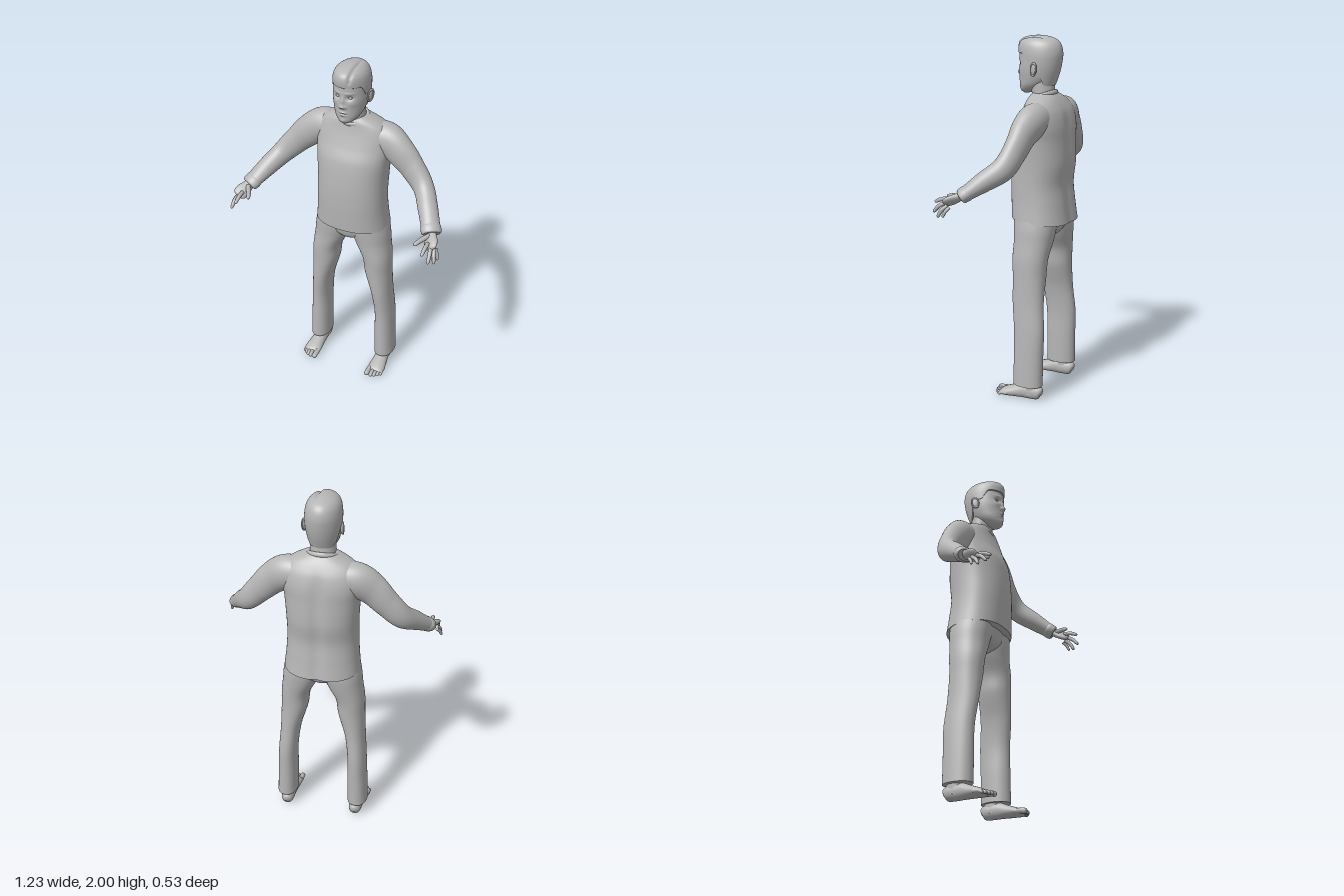
import * as THREE from 'three';

const grey = new THREE.MeshStandardMaterial({ color: 0xb6b6b6 });
grey.name = 'grey';

const step = (a, b, x) => THREE.MathUtils.smoothstep(x, a, b);
const bell = (x, c, w) => Math.exp(-(((x - c) / w) ** 2));
const power = (v, p) => Math.sign(v) * Math.abs(v) ** p;

// Smooth interpolation of rows [key, ...values] by key
function sample(rows, k) {
  const n = rows.length;
  let i = 0;
  while (i < n - 2 && k > rows[i + 1][0]) i++;
  const a = rows[i], b = rows[i + 1], p = rows[Math.max(0, i - 1)], q = rows[Math.min(n - 1, i + 2)];
  const h = b[0] - a[0], t = THREE.MathUtils.clamp((k - a[0]) / h, 0, 1);
  return a.slice(1).map((v, j) => {
    const w = b[j + 1];
    const m0 = ((w - p[j + 1]) / (b[0] - p[0])) * h, m1 = ((q[j + 1] - v) / (q[0] - a[0])) * h;
    return v + t * m0 + t * t * (3 * (w - v) - 2 * m0 - m1) + t * t * t * (2 * (v - w) + m0 + m1);
  });
}

// Closed skin from rings: at(angle, s) gives a point, ends get flat caps
function skin(name, at, nu, nv) {
  const pos = [], index = [];
  const ring = (s) => { for (let i = 0; i < nu; i++) pos.push(...at((i / nu) * Math.PI * 2, s)); };
  for (let j = 0; j <= nv; j++) ring(j / nv);
  for (let j = 0; j < nv; j++) for (let i = 0; i < nu; i++) {
    const a = j * nu + i, b = j * nu + ((i + 1) % nu);
    index.push(a, b, a + nu, b, b + nu, a + nu);
  }
  for (const s of [0, 1]) {
    const start = pos.length / 3, mid = [0, 0, 0];
    ring(s);
    for (let i = 0; i < nu * 3; i++) mid[i % 3] += pos[start * 3 + i] / nu;
    pos.push(...mid);
    for (let i = 0; i < nu; i++) {
      const a = start + i, b = start + ((i + 1) % nu);
      index.push(start + nu, ...(s ? [a, b] : [b, a]));
    }
  }
  const g = new THREE.BufferGeometry();
  g.setAttribute('position', new THREE.Float32BufferAttribute(pos, 3));
  g.setIndex(index);
  g.computeVertexNormals();
  return named(name, g);
}

function named(name, geometry) {
  const mesh = new THREE.Mesh(geometry, grey);
  mesh.name = name;
  return mesh;
}

// Upright loft; rows are [y, centre x, half width, front z, back z]
function upright(name, rows, { p = 1, nu = 48, nv = 48, shape = (v) => v, low = () => rows[0][0], dome = false } = {}) {
  const top = rows[rows.length - 1][0];
  return skin(name, (a, s) => {
    const y = THREE.MathUtils.lerp(low(-Math.sin(a)), top, dome ? Math.sin((s * Math.PI) / 2) : s);
    const [cx, rx, zf, zb] = sample(rows, y);
    return shape([cx + rx * power(Math.cos(a), p), y, (zf + zb) / 2 - ((zf - zb) / 2) * power(Math.sin(a), p)]);
  }, nu, nv);
}

// Limb along a path; rows are [x, y, z, sideways radius, vertical radius]
function limb(name, rows, { roll = 0, nu = 24, nv = 24, round = 0 } = {}) {
  const curve = new THREE.CatmullRomCurve3(rows.map((r) => new THREE.Vector3(r[0], r[1], r[2])));
  const radii = rows.map((r, i) => [i, r[3], r[4]]);
  return skin(name, (a, s) => {
    const c = curve.getPoint(s), t = curve.getTangent(s);
    const u = t.clone().cross(new THREE.Vector3(0, 1, 0)).normalize().applyAxisAngle(t, roll);
    const v = t.clone().cross(u);
    const [ra, rb] = sample(radii, s * (rows.length - 1));
    const k = s > 1 - round ? Math.sqrt(Math.max(0, 1 - ((s - 1 + round) / round) ** 2)) : 1;
    return c.addScaledVector(u, Math.cos(a) * ra * k).addScaledVector(v, Math.sin(a) * rb * k).toArray();
  }, nu, nv);
}

function mirrored(mesh) {
  const g = mesh.geometry.clone().scale(-1, 1, 1), ix = g.index.array;
  for (let i = 0; i < ix.length; i += 3) [ix[i], ix[i + 1]] = [ix[i + 1], ix[i]];
  return named(mesh.name.replace('left', 'right'), g);
}

// Face relief: [x, y, depth, width, height], applied on both sides
const relief = [
  [0, 1.8, 0.014, 0.012, 0.012], [0, 1.828, 0.01, 0.009, 0.026], [0.013, 1.796, 0.008, 0.008, 0.008],
  [0.034, 1.847, -0.013, 0.018, 0.012], [0.034, 1.874, 0.004, 0.025, 0.007], [0.05, 1.815, 0.004, 0.018, 0.018],
  [0, 1.763, 0.006, 0.02, 0.006], [0, 1.747, 0.006, 0.017, 0.006], [0, 1.755, -0.004, 0.022, 0.003],
  [0, 1.715, 0.005, 0.02, 0.012],
];

export function createModel() {
  const model = new THREE.Group();
  model.name = 'standingFigure';

  // Sweater body with slanted hem and a hollow along the spine
  model.add(upright('sweaterBody', [
    [1.005, 0, 0.21, 0.062, -0.265], [1.1, 0, 0.2, 0.067, -0.252], [1.2, 0, 0.195, 0.07, -0.242],
    [1.32, 0, 0.196, 0.066, -0.255], [1.45, 0, 0.205, 0.048, -0.25], [1.53, 0, 0.213, 0.015, -0.244],
    [1.6, 0, 0.208, -0.01, -0.225], [1.645, 0, 0.178, -0.022, -0.2], [1.675, 0, 0.125, -0.028, -0.178],
    [1.695, 0, 0.078, -0.04, -0.158],
  ], {
    p: 0.86, nu: 80, nv: 64, shape: ([x, y, z]) => [
      x,
      y + (z + 0.1) * 0.09 * (1 - step(1, 1.2, y)),
      z < -0.1 ? z + bell(x, 0, 0.035) * 0.012 * (1 - step(1.5, 1.65, y)) : z,
    ],
  }));
  const collar = named('collar', new THREE.TorusGeometry(0.078, 0.011, 12, 48)
    .rotateX(Math.PI / 2).scale(1, 1.2, 0.87).rotateX(0.33));
  collar.position.set(0, 1.678, -0.092);
  model.add(collar);

  // Trousers seat, joining both legs
  model.add(upright('trouserSeat', [
    [0.9, 0, 0.03, -0.05, -0.15], [0.93, 0, 0.1, -0.005, -0.19], [0.97, 0, 0.19, 0.015, -0.208],
    [1.06, 0, 0.195, 0.03, -0.21],
  ]));

  // Neck and head
  model.add(upright('neck', [
    [1.62, 0, 0.075, -0.04, -0.155], [1.69, 0, 0.069, -0.028, -0.152], [1.78, 0, 0.068, -0.01, -0.145],
  ]));
  model.add(upright('head', [
    [1.688, 0, 0.012, 0.025, 0], [1.7, 0, 0.04, 0.04, -0.05], [1.73, 0, 0.068, 0.046, -0.11],
    [1.77, 0, 0.083, 0.048, -0.155], [1.82, 0, 0.092, 0.049, -0.175], [1.87, 0, 0.094, 0.047, -0.186],
    [1.91, 0, 0.093, 0.046, -0.188], [1.95, 0, 0.082, 0.038, -0.178], [1.975, 0, 0.055, 0.01, -0.145],
    [1.983, 0, 0.004, -0.06, -0.07],
  ], {
    nu: 128, nv: 110, shape: ([x, y, z]) => {
      let d = 0;
      for (const [cx, cy, k, w, h] of relief) {
        d += k * bell(y, cy, h) * (bell(x, cx, w) + (cx ? bell(x, -cx, w) : 0));
      }
      return [x, y, z + d * step(-0.04, 0, z)];
    },
  }));

  // Hair shell with hairline, fringe and side parting
  model.add(upright('hair', [
    [1.72, 0, 0.068, -0.02, -0.148], [1.77, 0, 0.087, 0.04, -0.168], [1.82, 0, 0.095, 0.045, -0.184],
    [1.87, 0, 0.098, 0.046, -0.194], [1.91, 0, 0.097, 0.053, -0.197], [1.95, 0, 0.089, 0.055, -0.188],
    [1.975, 0, 0.073, 0.042, -0.168], [1.99, 0, 0.05, 0.012, -0.135], [1.998, 0, 0.024, -0.03, -0.095],
    [2, 0, 0.003, -0.06, -0.066],
  ], {
    nu: 112, nv: 60, dome: true,
    low: (f) => 1.735 + 0.115 * step(-0.65, -0.1, f) + 0.058 * step(0.25, 0.6, f),
    shape: ([x, y, z]) => {
      const part = bell(x, 0.034, 0.009) * step(-0.15, -0.06, z) * step(1.915, 1.95, y);
      return [x, y - 0.009 * part, z - 0.007 * part];
    },
  }));

  const left = [];
  // Trouser leg
  left.push(upright('leftTrouserLeg', [
    [0.085, 0.212, 0.058, -0.02, -0.19], [0.25, 0.208, 0.056, -0.02, -0.192], [0.4, 0.204, 0.053, -0.019, -0.195],
    [0.55, 0.189, 0.057, -0.004, -0.184], [0.7, 0.165, 0.075, 0.004, -0.184], [0.8, 0.156, 0.081, 0.01, -0.19],
    [0.9, 0.125, 0.1, 0.013, -0.205], [0.97, 0.11, 0.108, 0.02, -0.213], [1.06, 0.1, 0.1, 0.025, -0.21],
  ], { p: 0.92, nv: 56 }));

  // Sleeve and cuff
  left.push(limb('leftSleeve', [
    [0.1, 1.575, -0.122, 0.085, 0.08], [0.19, 1.56, -0.12, 0.08, 0.095], [0.265, 1.51, -0.108, 0.068, 0.088],
    [0.34, 1.435, -0.1, 0.058, 0.075], [0.42, 1.347, -0.072, 0.055, 0.064], [0.482, 1.28, 0.012, 0.054, 0.053],
    [0.535, 1.217, 0.095, 0.05, 0.038],
  ], { nu: 40, nv: 64 }));
  left.push(limb('leftCuff', [
    [0.522, 1.233, 0.074, 0.048, 0.038], [0.53, 1.223, 0.087, 0.055, 0.042], [0.543, 1.207, 0.109, 0.053, 0.039],
    [0.546, 1.203, 0.114, 0.046, 0.032],
  ], { nu: 32, nv: 12 }));

  // Hand with fingers
  left.push(limb('leftPalm', [
    [0.53, 1.222, 0.085, 0.03, 0.022], [0.546, 1.203, 0.12, 0.03, 0.02], [0.561, 1.185, 0.158, 0.04, 0.019],
    [0.576, 1.166, 0.2, 0.036, 0.013],
  ], { roll: 0.65, round: 0.15 }));
  const fingers = {
    Thumb: [[0.54, 1.205, 0.135], [0.513, 1.197, 0.18], [0.491, 1.187, 0.226], 0.013],
    IndexFinger: [[0.552, 1.188, 0.18], [0.552, 1.182, 0.225], [0.551, 1.163, 0.267], 0.011],
    MiddleFinger: [[0.57, 1.174, 0.18], [0.58, 1.153, 0.222], [0.584, 1.115, 0.257], 0.011],
    RingFinger: [[0.583, 1.16, 0.17], [0.596, 1.135, 0.198], [0.604, 1.096, 0.22], 0.011],
    LittleFinger: [[0.588, 1.152, 0.155], [0.602, 1.132, 0.172], [0.612, 1.1, 0.185], 0.009],
  };
  for (const [name, [a, b, c, r]] of Object.entries(fingers)) {
    left.push(limb('left' + name, [[...a, r, r], [...b, r, r], [...c, r * 0.75, r * 0.75]], { nu: 14, round: 0.15 }));
  }

  // Bare foot with toes
  left.push(upright('leftAnkle', [
    [0.03, 0.207, 0.036, -0.06, -0.175], [0.08, 0.207, 0.036, -0.07, -0.172], [0.16, 0.208, 0.04, -0.06, -0.165],
  ], { nu: 28, nv: 12 }));
  left.push(limb('leftFoot', [
    [0.206, 0.036, -0.187, 0.008, 0.01], [0.206, 0.04, -0.178, 0.027, 0.034], [0.206, 0.045, -0.15, 0.036, 0.044],
    [0.207, 0.046, -0.09, 0.038, 0.046], [0.21, 0.035, -0.03, 0.044, 0.035], [0.212, 0.025, 0.025, 0.05, 0.025],
    [0.21, 0.017, 0.065, 0.046, 0.015],
  ], { nu: 32, nv: 40, round: 0.1 }));
  [[0.176, 0.1, 0.015], [0.202, 0.099, 0.011], [0.221, 0.092, 0.0105], [0.238, 0.08, 0.01], [0.253, 0.066, 0.0095]]
    .forEach(([x, z, r], i) => left.push(limb('leftToe' + (i + 1), [
      [x, 0.024, z - 0.06, r, r], [x, 0.021, z - 0.025, r, r], [x, r, z, r, r],
    ], { nu: 14, nv: 16, round: 0.25 })));

  // Ear and eye
  left.push(named('leftEar', new THREE.SphereGeometry(1, 20, 16).scale(0.009, 0.035, 0.021)
    .rotateX(-0.2).rotateY(-0.35).translate(0.098, 1.825, -0.078)));
  left.push(named('leftEarRim', new THREE.TorusGeometry(0.024, 0.0045, 8, 28).rotateY(Math.PI / 2)
    .scale(1, 1.35, 0.85).rotateX(-0.2).rotateY(-0.35).translate(0.102, 1.826, -0.079)));
  left.push(named('leftEye', new THREE.SphereGeometry(1, 20, 14).scale(0.014, 0.008, 0.011)
    .translate(0.034, 1.847, 0.024)));

  for (const mesh of left) model.add(mesh, mirrored(mesh));
  return model;
}
